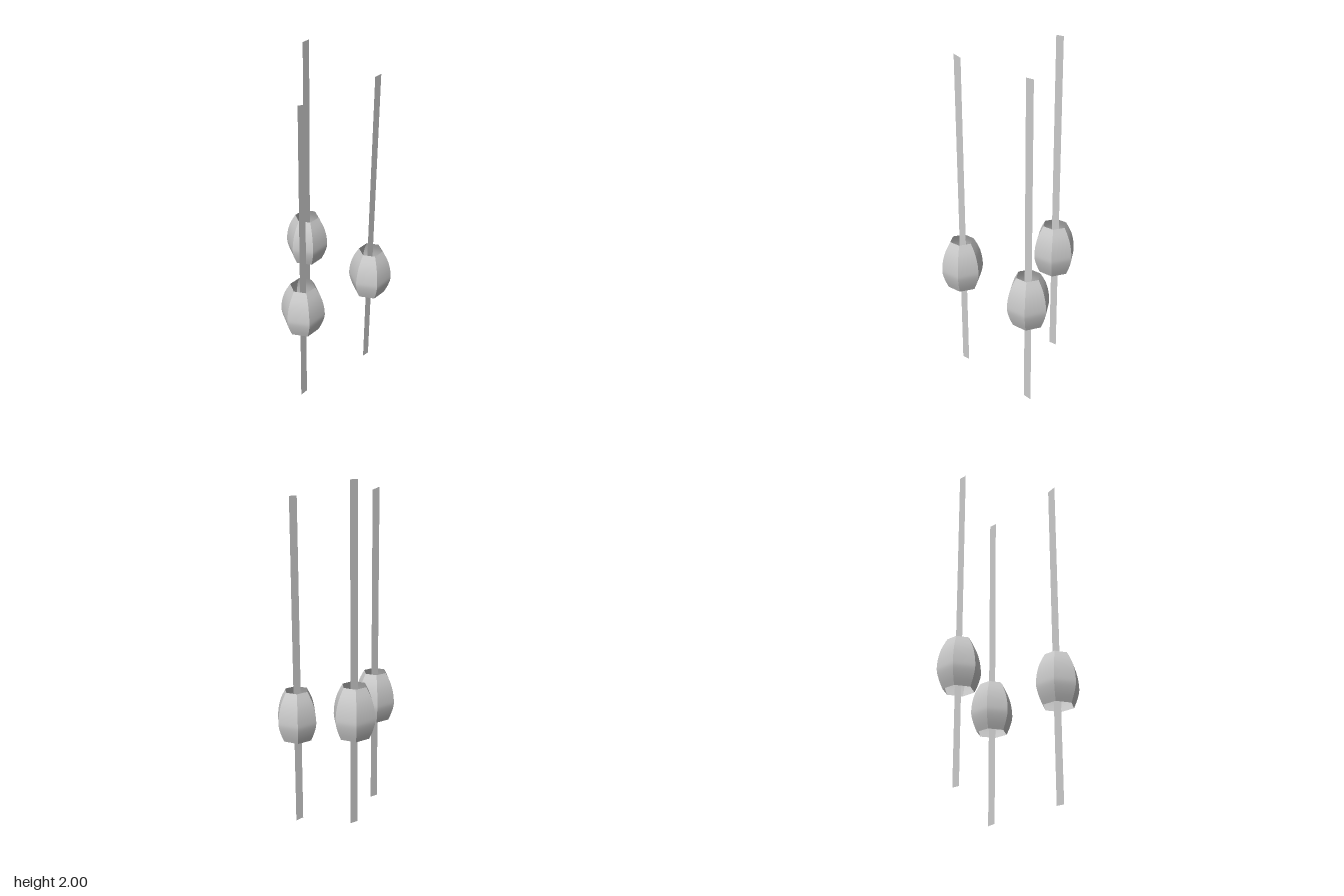
import * as THREE from 'three';
import { mergeGeometries } from 'three/addons/utils/BufferGeometryUtils.js';

const material = new THREE.MeshStandardMaterial({ color: 0xcccccc, side: THREE.DoubleSide });
const SHADE_HEIGHT = 0.29;
const STRIP_WIDTH = 0.048;

// Corner radius of the shade against height
const profile = new THREE.SplineCurve([
  [0.088, 0], [0.107, 0.045], [0.12, 0.09], [0.122, 0.125],
  [0.115, 0.18], [0.098, 0.235], [0.069, SHADE_HEIGHT],
].map(([r, y]) => new THREE.Vector2(r, y)));

// Open six-sided shade: each panel is smooth upwards, with sharp edges between panels
function shadeGeometry() {
  const panel = new THREE.PlaneGeometry(1, 1, 1, 16);
  const pos = panel.attributes.position;
  for (let i = 0; i < pos.count; i++) {
    const p = profile.getPoint(pos.getY(i) + 0.5);
    pos.setXYZ(i, pos.getX(i) * p.x, p.y, p.x * Math.sqrt(3) / 2);
  }
  panel.computeVertexNormals();
  const panels = [];
  for (let k = 0; k < 6; k++) panels.push(panel.clone().rotateY(k * Math.PI / 3));
  return mergeGeometries(panels);
}

// Flat hanging strip; the ends may be cut at a slant
function stripGeometry(bottomLeft, bottomRight, topLeft, topRight) {
  const h = STRIP_WIDTH / 2;
  return new THREE.ShapeGeometry(new THREE.Shape([
    new THREE.Vector2(-h, bottomLeft), new THREE.Vector2(h, bottomRight),
    new THREE.Vector2(h, topRight), new THREE.Vector2(-h, topLeft),
  ]));
}

export function createModel() {
  const model = new THREE.Group();
  const shade = shadeGeometry();

  const lanterns = [
    { name: 'rightLantern', x: -0.261, z: 0.148, y: 0.54, stripX: -0.257, ends: [0.02, 0.02, 1.905, 1.892] },
    { name: 'backLantern', x: 0.137, z: -0.196, y: 0.635, stripX: 0.14, ends: [0.117, 0.117, 2, 2] },
    { name: 'leftLantern', x: 0.259, z: 0.191, y: 0.52, stripX: 0.256, ends: [0.006, 0, 1.89, 1.89] },
  ];

  for (const l of lanterns) {
    const lantern = new THREE.Group();
    lantern.name = l.name;

    const shadeMesh = new THREE.Mesh(shade, material);
    shadeMesh.name = 'shade';
    shadeMesh.position.set(l.x, l.y, l.z);

    const strip = new THREE.Mesh(stripGeometry(...l.ends), material);
    strip.name = 'hangingStrip';
    strip.position.set(l.stripX, 0, l.z - 0.002);

    lantern.add(shadeMesh, strip);
    model.add(lantern);
  }
  return model;
}
